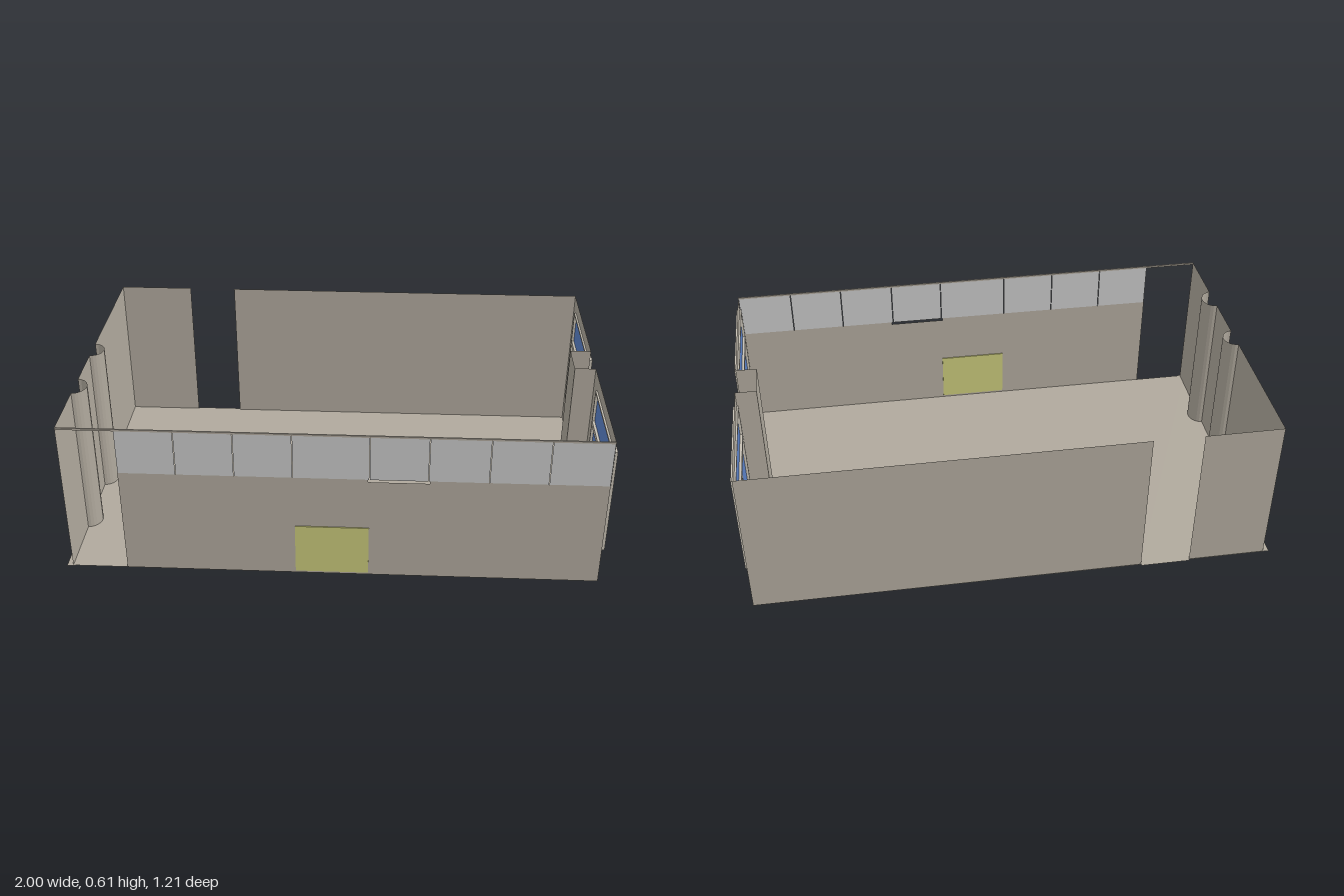
import * as THREE from 'three';

const H = 0.605, LEFT = -0.977, RIGHT = 0.985, FRONT = 0.597, BACK = -0.597;

const mat = (name, color) => {
  const m = new THREE.MeshStandardMaterial({ color, side: THREE.DoubleSide });
  m.name = name;
  return m;
};

export function createModel() {
  const room = new THREE.Group();
  room.name = 'room';
  const plaster = mat('plaster', 0xb0a99d);
  const paleGrey = mat('pale grey panel', 0xc8c8c8);
  const yellow = mat('yellow panel', 0xc8c87a);
  const blue = mat('blue glass', 0x5b82c9);
  const frameMat = mat('window frame', 0xc6c0b4);

  const add = (name, geo, material, parent = room) => {
    const mesh = new THREE.Mesh(geo, material);
    mesh.name = name;
    parent.add(mesh);
    return mesh;
  };
  const box = (name, x0, x1, y0, y1, z0, z1, material, parent) => {
    const mesh = add(name, new THREE.BoxGeometry(x1 - x0, y1 - y0, z1 - z0), material, parent);
    mesh.position.set((x0 + x1) / 2, (y0 + y1) / 2, (z0 + z1) / 2);
    return mesh;
  };
  // Corner list of a rectangle, for outlines and holes
  const rect = (u0, u1, v0, v1) =>
    [[u0, v0], [u1, v0], [u1, v1], [u0, v1]].map(([u, v]) => new THREE.Vector2(u, v));
  const panel = (outline, holes = []) => {
    const s = new THREE.Shape(outline);
    holes.forEach(h => s.holes.push(new THREE.Path(h)));
    return s;
  };
  // Upright sheet following a plan path of [x, z] points
  const sheet = (name, path) => {
    const p = [];
    for (let i = 0; i + 1 < path.length; i++) {
      const [ax, az] = path[i], [bx, bz] = path[i + 1];
      p.push(ax, 0, az, bx, 0, bz, bx, H, bz, ax, 0, az, bx, H, bz, ax, H, az);
    }
    const g = new THREE.BufferGeometry();
    g.setAttribute('position', new THREE.Float32BufferAttribute(p, 3));
    g.computeVertexNormals();
    return add(name, g, plaster);
  };
  // Rounded recess in the left wall, from z0 forward to z1
  const niche = (z0, z1) => {
    const pts = [];
    for (let i = 0; i <= 12; i++) {
      const a = (i / 12) * Math.PI;
      pts.push([LEFT + 0.047 * Math.sin(a), (z0 + z1) / 2 - ((z1 - z0) / 2) * Math.cos(a)]);
    }
    return pts;
  };

  // Floor, with the pier recess, the door threshold and the pipe hole
  const plan = [[-1, 0.6], [-0.97, 0.6], [-0.97, FRONT], [RIGHT, FRONT], [RIGHT, 0.06], [0.905, 0.06],
    [0.905, -0.083], [RIGHT, -0.083], [RIGHT, BACK], [-0.49, -0.599], [-0.49, -0.605],
    [-0.68, -0.605], [-0.68, -0.599], [-1, -0.599]];
  const toPlan = ([x, z]) => new THREE.Vector2(x, -z);
  const floor = new THREE.ShapeGeometry(panel(plan.map(toPlan), [niche(-0.05, 0.05).map(toPlan)]));
  add('floor', floor.rotateX(-Math.PI / 2), plaster);

  // Back wall either side of the doorway
  sheet('backWallLeft', [[RIGHT, BACK], [-0.49, BACK]]);
  sheet('backWallRight', [[-0.68, BACK], [LEFT, BACK]]);

  // Side wall with two rounded recesses
  sheet('rightWall', [[LEFT, BACK], ...niche(-0.05, 0.05), ...niche(0.24, 0.35), [LEFT, FRONT]]);

  // Front wall: solid base with a narrow slot, upper panels, top rail
  const base = new THREE.ShapeGeometry(panel(rect(-0.77, RIGHT, 0, 0.422), [rect(0.13, 0.35, 0.412, 0.4215)]));
  add('frontWallBase', base.translate(0, 0, FRONT), plaster);
  const seams = [-0.77, -0.56, -0.35, -0.14, 0.135, 0.345, 0.56, 0.77, RIGHT];
  for (let i = 0; i + 1 < seams.length; i++) {
    const g = new THREE.ShapeGeometry(panel(rect(seams[i] + 0.001, seams[i + 1] - 0.001, 0.422, 0.598)));
    add('upperPanel', g.translate(0, 0, FRONT), paleGrey);
  }
  box('topRail', LEFT, RIGHT, 0.598, H, FRONT - 0.004, FRONT + 0.002, plaster);
  box('frontPlate', -0.135, 0.135, 0.01, 0.212, FRONT - 0.004, FRONT + 0.004, yellow);

  // Window wall: pier recess and two panels, each holding a three-pane window
  sheet('pierRecess', [[RIGHT, 0.063], [0.905, 0.063], [0.905, -0.083], [RIGHT, -0.083]]);
  const bays = [
    { wall: [0.063, FRONT], win: [0.143, 0.582], mullion: 0.357 },
    { wall: [BACK, -0.083], win: [-0.537, -0.099], mullion: -0.322 },
  ];
  for (const { wall, win: [a, b], mullion } of bays) {
    const bay = new THREE.Group();
    bay.name = 'windowBay';
    room.add(bay);
    // Shapes are drawn as (-z, y), then turned to face +x
    const hole = rect(-b + 0.004, -a - 0.004, 0.137, 0.551);
    const wallGeo = new THREE.ShapeGeometry(panel(rect(-wall[1], -wall[0], 0, H), [hole]));
    add('windowWall', wallGeo.rotateY(Math.PI / 2).translate(RIGHT, 0, 0), plaster, bay);
    const panes = [
      rect(-b + 0.008, -a - 0.008, 0.425, 0.547),
      rect(-b + 0.008, -mullion - 0.004, 0.142, 0.405),
      rect(-mullion + 0.004, -a - 0.008, 0.142, 0.405),
    ];
    const frame = new THREE.ExtrudeGeometry(panel(rect(-b, -a, 0.133, 0.555), panes),
      { depth: 0.02, bevelEnabled: false });
    add('windowFrame', frame.rotateY(Math.PI / 2).translate(0.978, 0, 0), frameMat, bay);
    for (const p of panes) {
      const g = new THREE.ShapeGeometry(panel(p));
      add('windowPane', g.rotateY(Math.PI / 2).translate(0.988, 0, 0), blue, bay);
    }
  }
  return room;
}
